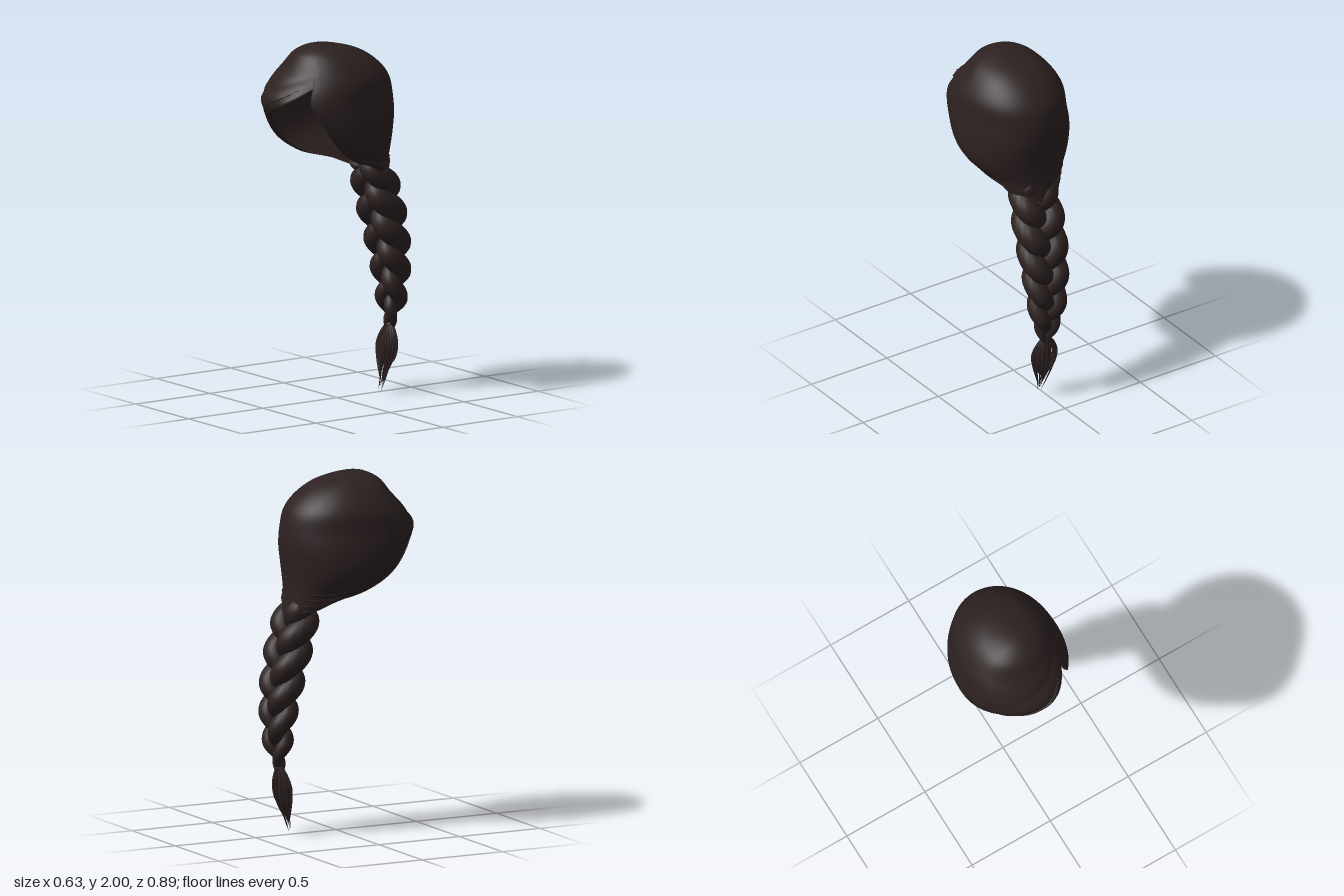
import * as THREE from 'three';
import { mergeVertices, mergeGeometries } from 'three/addons/utils/BufferGeometryUtils.js';

const hair = new THREE.MeshStandardMaterial({ color: 0x2d2121, side: THREE.DoubleSide });
hair.name = 'dark brown hair';

// Cap sections: height, half width, front z, back z
const SECTIONS = [
  [2, 0, 0.12, 0.12], [1.985, 0.09, 0.19, 0], [1.95, 0.165, 0.25, -0.12],
  [1.88, 0.235, 0.305, -0.23], [1.8, 0.282, 0.378, -0.295], [1.7, 0.3, 0.443, -0.32],
  [1.6, 0.314, 0.4, -0.322], [1.5, 0.31, 0.34, -0.308], [1.42, 0.278, 0.26, -0.3],
  [1.35, 0.22, 0.14, -0.3], [1.3, 0.17, -0.03, -0.305], [1.22, 0.12, -0.13, -0.315],
].map(([y, ...rest]) => [Math.sqrt(2 - y), ...rest]);

// Lower edge of the cap: angle from the front (positive to the left), height
const RIM = [
  [-180, 1.23], [-100, 1.25], [-75, 1.29], [-50, 1.36], [-43, 1.42], [-35, 1.5], [-20, 1.6],
  [0, 1.655], [15, 1.69], [30, 1.74], [42, 1.79], [45, 1.72], [50, 1.6], [55, 1.48],
  [60, 1.4], [66, 1.34], [80, 1.285], [100, 1.25], [180, 1.23],
];

function span(table, x) {
  let i = 0;
  while (i < table.length - 2 && x > table[i + 1][0]) i++;
  return i;
}

// Smooth (Hermite) lookup in a table
function smooth(table, x, col) {
  const i = span(table, x), p = table[i], q = table[i + 1], h = q[0] - p[0];
  const slope = k => {
    const a = table[Math.max(0, k - 1)], b = table[Math.min(table.length - 1, k + 1)];
    return (b[col] - a[col]) / (b[0] - a[0]);
  };
  const t = THREE.MathUtils.clamp((x - p[0]) / h, 0, 1), t2 = t * t, t3 = t2 * t;
  return p[col] * (2 * t3 - 3 * t2 + 1) + slope(i) * h * (t3 - 2 * t2 + t)
    + q[col] * (3 * t2 - 2 * t3) + slope(i + 1) * h * (t3 - t2);
}

function rimHeight(deg) {
  const i = span(RIM, deg), p = RIM[i], q = RIM[i + 1];
  return THREE.MathUtils.lerp(p[1], q[1], (deg - p[0]) / (q[0] - p[0]));
}

// Point on the cap at an angle and height; scale moves it in or out
function capPoint(deg, y, scale = 1) {
  const u = Math.sqrt(Math.max(0, 2 - y)), phi = THREE.MathUtils.degToRad(deg);
  const front = smooth(SECTIONS, u, 2), back = smooth(SECTIONS, u, 3);
  // Groove where the upper sweep overlaps the fringe
  if (deg > -80 && deg < 42) {
    const fold = 1.68 + 0.17 * (deg + 70) / 108;
    const fade = Math.min(1, (deg + 80) / 25, (42 - deg) / 12);
    scale -= 0.025 * fade * Math.exp(-(((y - fold) / 0.02) ** 2));
  }
  // Egg-shaped plan, widest forward of the middle, fuller under the sweep of the fringe
  const mid = THREE.MathUtils.lerp(back, front, 0.56), c = Math.cos(phi);
  const depth = c > 0 ? (front - mid) * c ** (deg < 0 ? 0.86 : 1.12) : (back - mid) * (-c) ** 0.9;
  return new THREE.Vector3(
    smooth(SECTIONS, u, 1) * Math.sin(phi) * scale, y, mid + depth * scale);
}

// Grid of points, closed around each row
function loft(rows) {
  const n = rows[0].length, index = [];
  for (let j = 0; j < rows.length - 1; j++) for (let i = 0; i < n; i++) {
    const a = j * n + i, d = j * n + (i + 1) % n;
    index.push(a, a + n, d + n, a, d + n, d);
  }
  let g = new THREE.BufferGeometry().setFromPoints(rows.flat());
  g.setIndex(index);
  g = mergeVertices(g, 1e-5);
  g.computeVertexNormals();
  return g;
}

// Tapered lock along a path, tapering by the radius function
function lock(path, radius, steps, sides, ref) {
  const rows = [];
  for (let j = 0; j <= steps; j++) {
    const t = j / steps, c = path(t), r = radius(t);
    const tan = path(Math.min(1, t + 0.005)).sub(path(Math.max(0, t - 0.005))).normalize();
    const n = new THREE.Vector3().crossVectors(tan, ref).normalize();
    const b = new THREE.Vector3().crossVectors(n, tan);
    rows.push(Array.from({ length: sides }, (_, i) => {
      const a = -i / sides * Math.PI * 2;
      return c.clone().addScaledVector(n, r * Math.cos(a)).addScaledVector(b, r * Math.sin(a));
    }));
  }
  return loft(rows);
}

let seed = 7;
const random = () => (seed = (seed * 16807) % 2147483647) / 2147483647;
const Y = new THREE.Vector3(0, 1, 0), Z = new THREE.Vector3(0, 0, 1);

function capGeometry() {
  const rows = [], n = 40, around = 120;
  for (let j = 0; j <= n + 3; j++) {
    const row = [];
    for (let i = 0; i < around; i++) {
      const deg = -180 + i * 360 / around, rim = rimHeight(deg);
      const u = Math.min(1, j / n) * Math.sqrt(2 - rim);
      const curl = Math.max(0, j - n);   // edge tucked inward
      row.push(capPoint(deg, 2 - u * u, 1 - 0.02 * curl));
    }
    rows.push(row);
  }
  return loft(rows);
}

// Fine hairs lying over the cap between two angles
function wisp(from, to, lift) {
  const out = 1.004 + random() * 0.014;
  const path = t => {
    const deg = THREE.MathUtils.lerp(from, to, t);
    return capPoint(deg, rimHeight(deg) + lift, out);
  };
  return lock(path, t => 0.0005 + 0.003 * Math.sin(Math.PI * t), 24, 4, Y);
}

// Braid centre line: fraction, height, z, half width
const BRAID = [
  [0, 1.325, -0.195, 0.12], [0.12, 1.235, -0.228, 0.138], [0.33, 1.05, -0.28, 0.145],
  [0.53, 0.85, -0.325, 0.135], [0.7, 0.68, -0.348, 0.117], [0.86, 0.51, -0.352, 0.09],
  [1, 0.365, -0.342, 0.03],
];

function braidStrand(k) {
  const phase = t => Math.PI * 2 * (1.75 * t + 0.25 * t * t + k / 3);
  const path = t => {
    const w = smooth(BRAID, t, 3), p = phase(t);
    return new THREE.Vector3(0.02 + 0.56 * w * Math.sin(p), smooth(BRAID, t, 1),
      smooth(BRAID, t, 2) + 0.3 * w * Math.sin(2 * p));
  };
  const radius = t => {
    const end = Math.sqrt(Math.min(1, t / 0.012));
    return end * smooth(BRAID, t, 3) * (0.39 + 0.1 * Math.abs(Math.sin(phase(t))));
  };
  return lock(path, radius, 130, 16, Z);
}

// Loose hair below the tie
function tuftHair(i) {
  const a = i * 2.4, spread = 0.5 + 0.5 * random(), tip = i === 0 ? 0 : 0.01 + random() * 0.15;
  const at = (y, z, wide, deep) =>
    new THREE.Vector3(0.017 + wide * Math.cos(a), y, z + deep * Math.sin(a));
  const curve = new THREE.CatmullRomCurve3([
    at(0.385, -0.342, 0.012, 0.012),
    at(0.34, -0.335, 0.05 * spread, 0.03 * spread),
    at(0.265, -0.325, 0.076 * spread, 0.05 * spread),
    at(0.18, -0.313, 0.058 * spread, 0.044 * spread),
    at(0.08 + tip * 0.5, -0.296, 0.03 * spread, 0.022 * spread),
    at(tip, -0.275 - tip * 0.1, 0.008, 0.008),
  ]);
  return lock(t => curve.getPoint(t), t => 0.007 * Math.sin(Math.PI * (0.25 + t * 0.75)), 20, 5, Z);
}

export function createModel() {
  const group = new THREE.Group();
  group.name = 'braidedHair';
  const add = (name, geometry) => {
    const mesh = new THREE.Mesh(geometry, hair);
    mesh.name = name;
    group.add(mesh);
  };

  add('hairCap', capGeometry());

  // Wisps along both sides to the nape, and along the fringe
  const wisps = [];
  for (const side of [-1, 1]) for (let i = 0; i < 16; i++) {
    wisps.push(wisp(side * (68 + random() * 35), side * (140 + random() * 38), random() * 0.12));
  }
  for (let i = 0; i < 8; i++) wisps.push(wisp(-75 + random() * 30, -5 + random() * 40, random() * 0.05));
  add('looseWisps', mergeGeometries(wisps));

  for (let k = 0; k < 3; k++) add('braidStrand' + (k + 1), braidStrand(k));

  // Tie at the end of the braid
  const tie = new THREE.TorusGeometry(0.016, 0.01, 8, 16).rotateX(Math.PI / 2);
  add('braidTie', tie.translate(0.018, 0.372, -0.342));

  add('tuft', mergeGeometries(Array.from({ length: 34 }, (_, i) => tuftHair(i))));
  return group;
}
